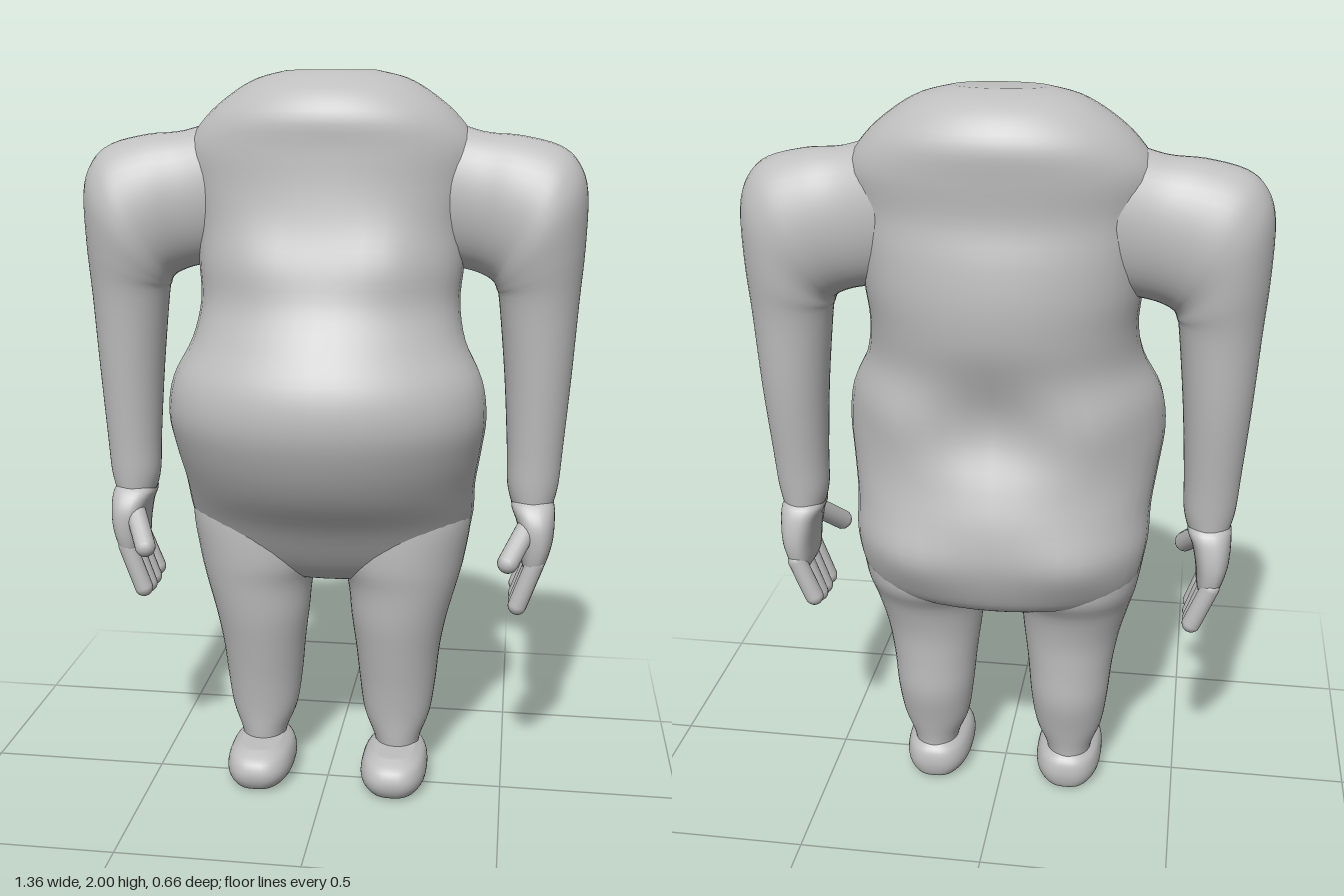
import * as THREE from 'three';

const skin = new THREE.MeshStandardMaterial({ color: 0xbebebe });
skin.name = 'plain grey';

const SIDES = 40;

function catmull(a, b, c, d, t) {
  return b + 0.5 * t * (c - a + t * (2 * a - 5 * b + 4 * c - d + t * (3 * (b - c) + d - a)));
}

// Smooth closed loft. Each row: [ax, ay, bx, by, zFront, zBack], bottom to top,
// where a and b are the -x and +x ends of the section.
function loft(name, rows, { power = 2, steps = 4, rule = null } = {}) {
  const fine = [];
  const row = (i) => rows[Math.max(0, Math.min(rows.length - 1, i))];
  for (let i = 0; i < rows.length - 1; i++) {
    for (let s = 0; s < steps; s++) {
      fine.push(rows[i].map((_, k) =>
        catmull(row(i - 1)[k], row(i)[k], row(i + 1)[k], row(i + 2)[k], s / steps)));
    }
  }
  fine.push(rows[rows.length - 1]);
  const pos = [], index = [];
  const bend = (v) => Math.sign(v) * Math.abs(v) ** (2 / power);
  for (const [ax, ay, bx, by, zf, zb] of fine) {
    for (let j = 0; j < SIDES; j++) {
      const t = (j / SIDES) * Math.PI * 2;
      const c = bend(Math.cos(t)), s = bend(Math.sin(t));
      const p = new THREE.Vector3(
        (ax + bx) / 2 + (c * (bx - ax)) / 2,
        (ay + by) / 2 + (c * (by - ay)) / 2,
        (zf + zb) / 2 + (s * (zf - zb)) / 2);
      if (rule) rule(p, s);
      pos.push(p.x, p.y, p.z);
    }
  }
  for (let i = 0; i < fine.length - 1; i++) {
    for (let j = 0; j < SIDES; j++) {
      const a = i * SIDES + j, b = i * SIDES + ((j + 1) % SIDES);
      index.push(a, a + SIDES, b + SIDES, a, b + SIDES, b);
    }
  }
  // end caps
  const last = fine.length - 1;
  for (const i of [0, last]) {
    const [ax, ay, bx, by, zf, zb] = fine[i];
    const centre = pos.length / 3;
    pos.push((ax + bx) / 2, (ay + by) / 2, (zf + zb) / 2);
    for (let j = 0; j < SIDES; j++) {
      const a = i * SIDES + j, b = i * SIDES + ((j + 1) % SIDES);
      if (i === 0) index.push(centre, a, b);
      else index.push(centre, b, a);
    }
  }
  const geo = new THREE.BufferGeometry();
  geo.setAttribute('position', new THREE.Float32BufferAttribute(pos, 3));
  geo.setIndex(index);
  geo.computeVertexNormals();
  const mesh = new THREE.Mesh(geo, skin);
  mesh.name = name;
  return mesh;
}

// Mirror section rows to the chosen side (+1 left, -1 right)
const mirrored = (rows, side) => side > 0 ? rows
  : rows.map(([ax, ay, bx, by, zf, zb]) => [-bx, by, -ax, ay, zf, zb]);

// Horizontal section shorthand: y, x from, x to, z front, z back
const flat = (rows) => rows.map(([y, x0, x1, zf, zb]) => [x0, y, x1, y, zf, zb]);

// Rounded finger between two points
function digit(name, from, to, radius, side) {
  const a = new THREE.Vector3(from[0] * side, from[1], from[2]);
  const b = new THREE.Vector3(to[0] * side, to[1], to[2]);
  const dir = b.clone().sub(a);
  const mesh = new THREE.Mesh(new THREE.CapsuleGeometry(radius, dir.length(), 6, 14), skin);
  mesh.position.copy(a).add(b).multiplyScalar(0.5);
  mesh.quaternion.setFromUnitVectors(new THREE.Vector3(0, 1, 0), dir.normalize());
  mesh.name = name;
  return mesh;
}

// y, half width, z front, z back
const TORSO = [
  [0.62, 0.24, 0.02, -0.2], [0.65, 0.33, 0.06, -0.265], [0.7, 0.375, 0.1, -0.3],
  [0.8, 0.4, 0.165, -0.33], [0.9, 0.405, 0.245, -0.325], [1.0, 0.42, 0.3, -0.3],
  [1.1, 0.432, 0.33, -0.28], [1.2, 0.418, 0.32, -0.28], [1.3, 0.37, 0.27, -0.285],
  [1.4, 0.352, 0.215, -0.3], [1.5, 0.36, 0.185, -0.305], [1.6, 0.365, 0.15, -0.295],
  [1.7, 0.38, 0.13, -0.275], [1.8, 0.39, 0.122, -0.28], [1.88, 0.34, 0.12, -0.282],
  [1.94, 0.27, 0.085, -0.25], [1.98, 0.2, 0.03, -0.2], [2.0, 0.12, -0.02, -0.14],
].map(([y, w, zf, zb]) => [-w, y, w, y, zf, zb]);

const ARM = [
  [0.505, 0.845, 0.62, 0.845, 0.01, -0.125], [0.492, 0.9, 0.632, 0.9, 0.015, -0.13],
  [0.488, 1.0, 0.64, 1.0, 0.02, -0.14], [0.475, 1.2, 0.655, 1.2, 0.035, -0.165],
  [0.455, 1.4, 0.667, 1.4, 0.052, -0.18], [0.448, 1.43, 0.677, 1.55, 0.07, -0.195],
  [0.445, 1.44, 0.677, 1.69, 0.083, -0.203], [0.44, 1.45, 0.652, 1.765, 0.083, -0.207],
  [0.435, 1.455, 0.6, 1.81, 0.075, -0.207], [0.42, 1.465, 0.5, 1.835, 0.06, -0.2],
  [0.38, 1.48, 0.4, 1.845, 0.04, -0.193], [0.28, 1.5, 0.28, 1.885, 0.03, -0.2],
];

const LEG = flat([
  [0.08, 0.14, 0.255, 0.01, -0.135], [0.13, 0.128, 0.265, 0.015, -0.14],
  [0.2, 0.1, 0.29, 0.02, -0.155], [0.3, 0.085, 0.305, 0.035, -0.178],
  [0.4, 0.075, 0.315, 0.055, -0.18], [0.5, 0.062, 0.333, 0.075, -0.185],
  [0.6, 0.05, 0.36, 0.088, -0.21], [0.68, 0.015, 0.38, 0.1, -0.25],
  [0.8, 0.01, 0.395, 0.1, -0.24], [0.9, 0.05, 0.37, 0.08, -0.2],
]);

const FOOT = flat([
  [0.003, 0.135, 0.255, 0.1, -0.125], [0.01, 0.12, 0.27, 0.125, -0.148],
  [0.035, 0.102, 0.286, 0.142, -0.158], [0.065, 0.1, 0.288, 0.145, -0.16],
  [0.095, 0.112, 0.278, 0.128, -0.152], [0.115, 0.14, 0.25, 0.085, -0.13],
]);

const PALM = flat([
  [0.655, 0.55, 0.59, 0.02, -0.13], [0.68, 0.538, 0.605, 0.04, -0.148],
  [0.74, 0.532, 0.622, 0.052, -0.158], [0.8, 0.52, 0.626, 0.05, -0.152],
  [0.845, 0.505, 0.622, 0.025, -0.135], [0.87, 0.53, 0.6, -0.01, -0.1],
]);

// Soft chest pads in front and a hollow along the lower spine
function torsoRule(p, s) {
  const hump = (v, c, r) => Math.exp(-(((v - c) / r) ** 2));
  if (s > 0) p.z += 0.02 * s * hump(Math.abs(p.x), 0.2, 0.09) * hump(p.y, 1.52, 0.1);
  else {
    p.z -= 0.05 * s * hump(p.x, 0, 0.13) * hump(p.y, 1.17, 0.13);
    p.z += 0.025 * s * hump(Math.abs(p.x), 0.27, 0.1) * hump(p.y, 1.15, 0.1);
    p.z += 0.03 * s * hump(Math.abs(p.x), 0.24, 0.12) * hump(p.y, 0.8, 0.09);
  }
}

export function createModel() {
  const model = new THREE.Group();
  model.name = 'headlessFigure';
  model.add(loft('torso', TORSO, { rule: torsoRule }));

  for (const side of [1, -1]) {
    const label = side > 0 ? 'left' : 'right';
    model.add(
      loft(label + 'Arm', mirrored(ARM, side)),
      loft(label + 'Leg', mirrored(LEG, side)),
      loft(label + 'Foot', mirrored(FOOT, side), { power: 2.6 }));

    const hand = new THREE.Group();
    hand.name = label + 'Hand';
    hand.add(loft('palm', mirrored(PALM, side), { power: 2.6 }));
    hand.add(digit('thumb', [0.55, 0.79, 0.01], [0.502, 0.715, 0.093], 0.029, side));
    // four fingers from front to back
    [0.567, 0.562, 0.566, 0.58].forEach((tip, i) => {
      const z = 0.018 - i * 0.05;
      hand.add(digit('finger', [0.575, 0.69, z], [0.531, tip, z], 0.026, side));
    });
    model.add(hand);
  }
  return model;
}
